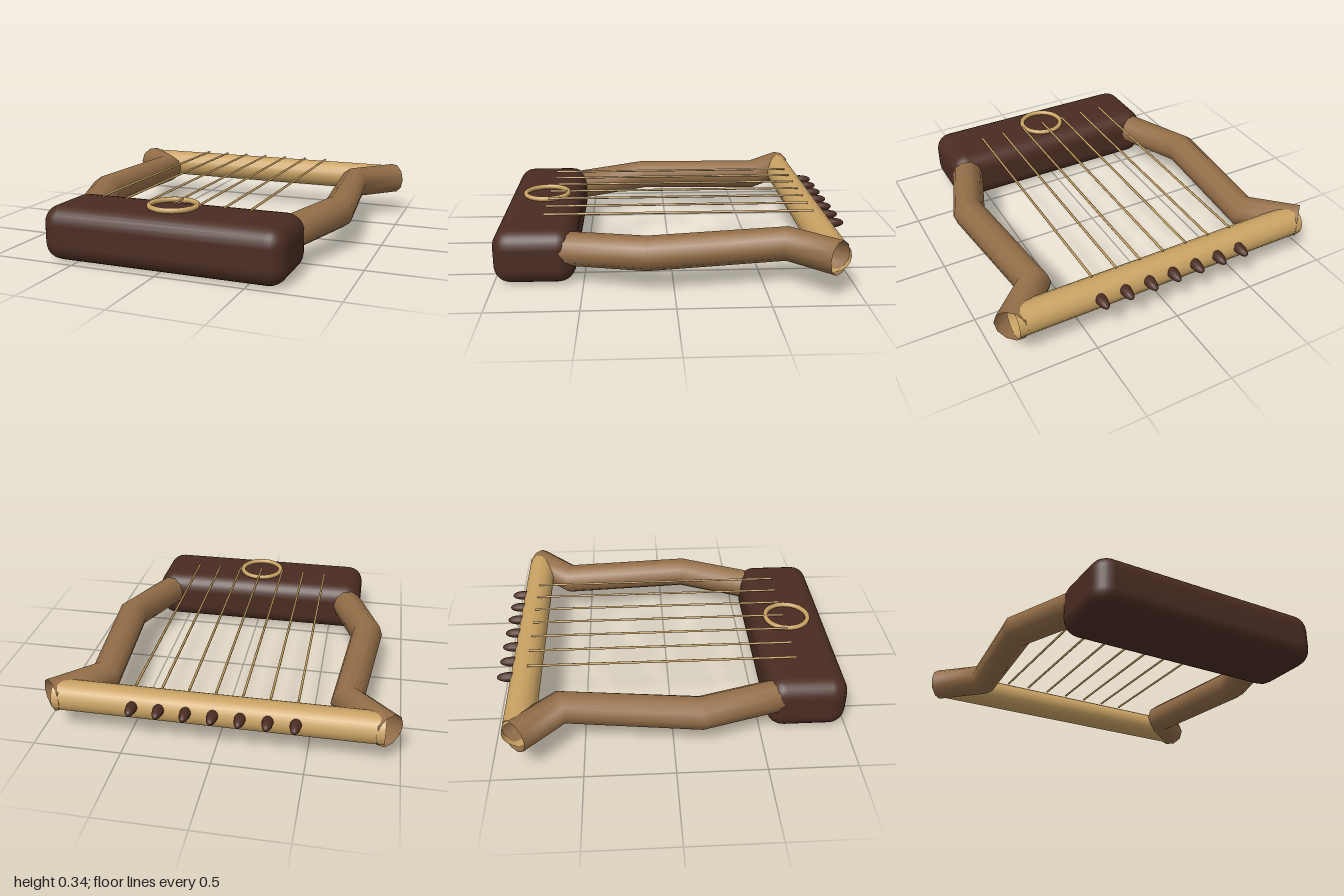
import * as THREE from 'three';
import { RoundedBoxGeometry } from 'three/addons/geometries/RoundedBoxGeometry.js';

const darkWood = new THREE.MeshStandardMaterial({ color: 0x4a2c22 });
const midWood = new THREE.MeshStandardMaterial({ color: 0x946e48, side: THREE.DoubleSide });
const paleWood = new THREE.MeshStandardMaterial({ color: 0xc9a263, side: THREE.DoubleSide });

function add(parent, name, geometry, material, x = 0, y = 0, z = 0) {
  const mesh = new THREE.Mesh(geometry, material);
  mesh.name = name;
  mesh.position.set(x, y, z);
  parent.add(mesh);
  return mesh;
}

// Open tube with one ring of vertices at each corner of a bent path
function bentTube(path, radius, sides) {
  const positions = [], index = [];
  path.forEach((p, i) => {
    const tangent = new THREE.Vector3();
    if (i > 0) tangent.add(p.clone().sub(path[i - 1]).normalize());
    if (i < path.length - 1) tangent.add(path[i + 1].clone().sub(p).normalize());
    tangent.normalize();
    const across = new THREE.Vector3(0, 1, 0).cross(tangent).normalize();
    const up = tangent.clone().cross(across);
    for (let j = 0; j < sides; j++) {
      const a = (j / sides) * Math.PI * 2;
      const v = p.clone()
        .addScaledVector(across, Math.cos(a) * radius)
        .addScaledVector(up, Math.sin(a) * radius);
      positions.push(v.x, v.y, v.z);
      if (i < path.length - 1) {
        const k = (j + 1) % sides, r = i * sides, n = r + sides;
        index.push(r + j, r + k, n + j, r + k, n + k, n + j);
      }
    }
  });
  const geometry = new THREE.BufferGeometry();
  geometry.setAttribute('position', new THREE.Float32BufferAttribute(positions, 3));
  geometry.setIndex(index);
  geometry.computeVertexNormals();
  return geometry;
}

export function createModel() {
  const lyre = new THREE.Group();
  lyre.name = 'lyre';

  // Sound box and its ring
  add(lyre, 'soundBox', new RoundedBoxGeometry(1.4, 0.312, 0.46, 3, 0.1), darkWood, 0, 0.156, 0.77);
  const ring = add(lyre, 'soundRing', new THREE.TorusGeometry(0.131, 0.015, 10, 32), paleWood, 0, 0.327, 0.75);
  ring.rotation.x = Math.PI / 2;

  // Bent arms, mirrored left and right
  for (const [name, s] of [['leftArm', 1], ['rightArm', -1]]) {
    const path = [
      [0.6, 0.192, 0.62], [0.765, 0.218, 0.148], [0.69, 0.232, -0.625], [0.922, 0.236, -0.86],
    ].map(([x, y, z]) => new THREE.Vector3(s * x, y, z));
    add(lyre, name, bentTube(path, 0.0955, 10), midWood);
  }

  // Hollow crossbar
  const bar = add(lyre, 'crossbar', new THREE.CylinderGeometry(0.088, 0.088, 1.8, 16, 1, true), paleWood, 0, 0.236, -0.838);
  bar.rotation.z = Math.PI / 2;

  // Strings and tuning pegs
  const stringGeometry = new THREE.CylinderGeometry(0.007, 0.007, 1.55, 6).rotateX(Math.PI / 2);
  const pegGeometry = new THREE.SphereGeometry(1, 12, 8).rotateX(Math.PI / 2).scale(0.031, 0.029, 0.075);
  for (let i = -3; i <= 3; i++) {
    add(lyre, 'string', stringGeometry, paleWood, i * 0.147, 0.336, -0.045);
    add(lyre, 'tuningPeg', pegGeometry, darkWood, i * 0.147, 0.26, -0.925);
  }
  return lyre;
}
